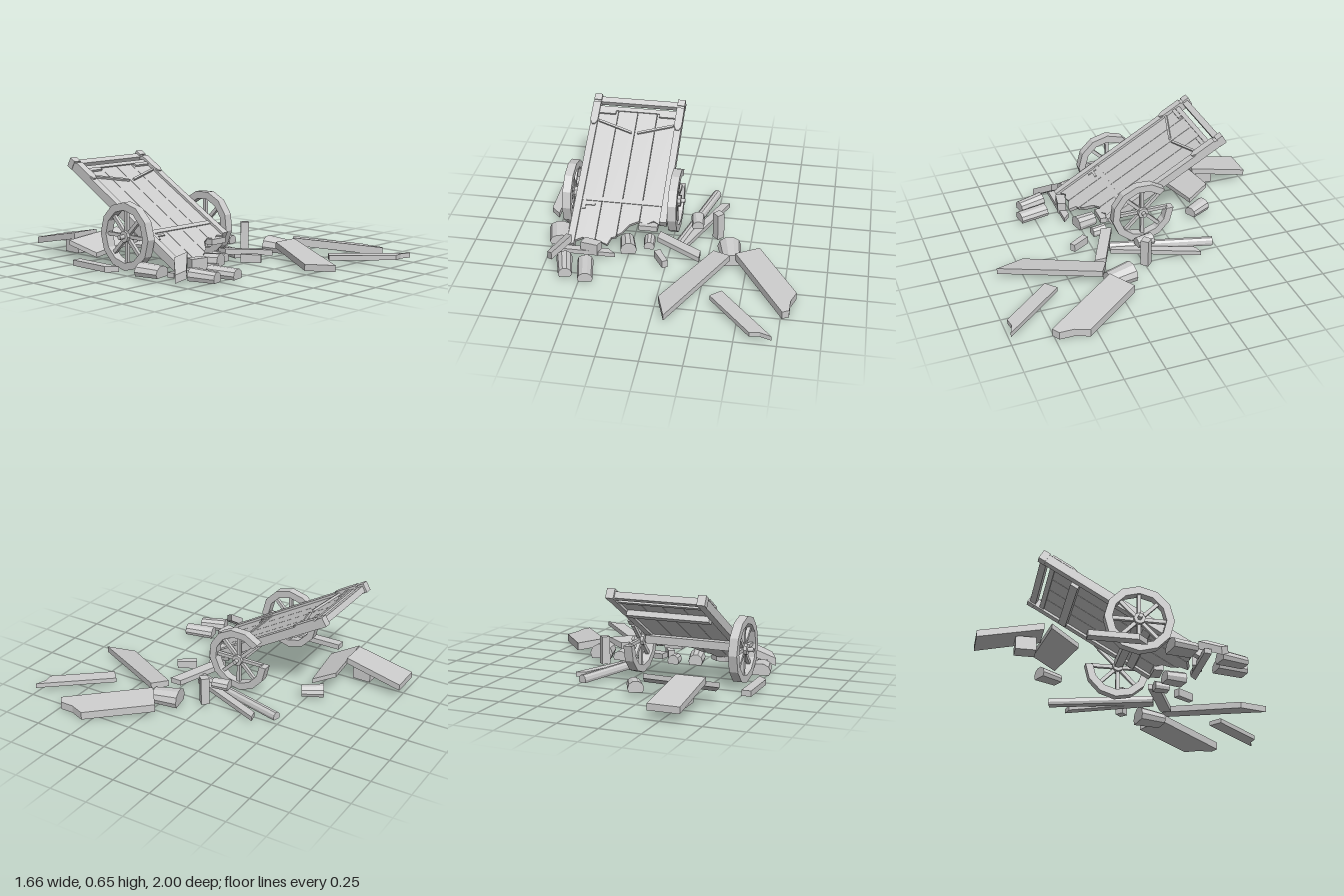
import * as THREE from 'three';

const wood = new THREE.MeshStandardMaterial({ color: 0xcccccc });
wood.name = 'paleGrey';

function add(parent, name, geo, x = 0, y = 0, z = 0) {
  const m = new THREE.Mesh(geo, wood);
  m.name = name;
  m.position.set(x, y, z);
  parent.add(m);
  return m;
}
const box = (parent, name, w, h, d, x, y, z) => add(parent, name, new THREE.BoxGeometry(w, h, d), x, y, z);

// Flat board from an (x, z) outline; its top lies at y = top + slopeX * x + slopeZ * z
function slab(parent, name, outline, thick, top, slopeX = 0, slopeZ = 0) {
  const shape = new THREE.Shape(outline.map(([x, z]) => new THREE.Vector2(x, z)));
  const geo = new THREE.ExtrudeGeometry(shape, { depth: thick, bevelEnabled: false });
  geo.rotateX(Math.PI / 2);
  const p = geo.attributes.position;
  for (let i = 0; i < p.count; i++) {
    p.setY(i, p.getY(i) + top + slopeX * p.getX(i) + slopeZ * p.getZ(i));
  }
  geo.computeVertexNormals();
  return add(parent, name, geo);
}

// Split piece of log: rounded on top, flat below, lying along its own z
function log(parent, name, w, h, len, x, y, z, yaw = 0, taper = 1) {
  const pts = [];
  for (let i = 0; i <= 5; i++) {
    const a = (i / 5) * Math.PI;
    pts.push(new THREE.Vector2(Math.cos(a) * w / 2, h * (0.35 + 0.65 * Math.sin(a))));
  }
  pts.push(new THREE.Vector2(-w * 0.42, 0), new THREE.Vector2(w * 0.42, 0));
  const geo = new THREE.ExtrudeGeometry(new THREE.Shape(pts), { depth: len, bevelEnabled: false });
  geo.translate(0, 0, -len / 2);
  const p = geo.attributes.position;
  for (let i = 0; i < p.count; i++) {
    if (p.getZ(i) > 0) { p.setX(i, p.getX(i) * taper); p.setY(i, p.getY(i) * taper); }
  }
  geo.computeVertexNormals();
  const m = add(parent, name, geo, x, y, z);
  m.rotation.y = yaw;
  return m;
}

// Twelve-sided spoked wheel about the x axis, optionally with a piece of rim missing
function wheel(parent, name, x, broken) {
  const g = new THREE.Group();
  g.name = name;
  g.position.set(x, 0.225, -0.08);
  const ring = (r, from, to, n) => Array.from({ length: n + 1 }, (_, i) => {
    const a = from + (to - from) * i / n;
    return new THREE.Vector2(r * Math.cos(a), r * Math.sin(a));
  });
  const full = Math.PI * 2, R = 0.207, r = 0.16;
  let shape;
  if (broken) {
    const a = full / 8;
    shape = new THREE.Shape([...ring(R, a, full, 11), ...ring(r, a, full, 11).reverse()]);
  } else {
    shape = new THREE.Shape(ring(R, 0, full, 12).slice(0, 12));
    shape.holes.push(new THREE.Path(ring(r, 0, full, 12).slice(0, 12)));
  }
  const rim = new THREE.ExtrudeGeometry(shape, { depth: 0.055, bevelEnabled: false });
  rim.translate(0, 0, -0.0275).rotateY(Math.PI / 2);
  add(g, 'rim', rim);
  const hub = new THREE.CylinderGeometry(0.035, 0.035, 0.06, 8).toNonIndexed();
  hub.computeVertexNormals();
  add(g, 'hub', hub.rotateZ(Math.PI / 2));
  for (let i = 0; i < 8; i++) {
    const spoke = new THREE.BoxGeometry(0.022, 0.15, 0.022).translate(0, 0.095, 0);
    add(g, 'spoke', spoke.rotateX(i * Math.PI / 4));
  }
  parent.add(g);
}

export function createModel() {
  const model = new THREE.Group();
  model.name = 'brokenCart';

  // Tilted cart bed: local z runs down the slope toward the front
  const bed = new THREE.Group();
  bed.name = 'cartBed';
  bed.position.set(-0.33, 0.29, -0.08);
  bed.rotation.x = Math.PI / 6;
  model.add(bed);
  box(bed, 'leftRail', 0.045, 0.055, 0.90, 0.28, 0, -0.21);
  box(bed, 'rightRail', 0.045, 0.055, 1.10, -0.28, 0, -0.11);
  box(bed, 'endBar', 0.56, 0.04, 0.04, 0, 0, -0.63);
  box(bed, 'backBeam', 0.52, 0.04, 0.03, 0, 0, -0.565);
  box(bed, 'crossStrip', 0.52, 0.008, 0.03, 0, 0.014, 0.11);
  box(bed, 'underBeam', 0.52, 0.035, 0.05, 0, -0.03, 0.1);
  box(bed, 'underBeam', 0.52, 0.035, 0.05, 0, -0.03, -0.40);

  // Bed planks with splintered front ends
  const planks = [
    [[-0.258, 0.41], [-0.21, 0.385], [-0.17, 0.4], [-0.132, 0.39]],
    [[-0.129, 0.39], [-0.05, 0.42], [-0.03, 0.37], [-0.002, 0.36]],
    [[0.001, 0.35], [0.03, 0.33], [0.07, 0.27], [0.128, 0.24]],
    [[0.131, 0.24], [0.17, 0.26], [0.22, 0.23], [0.258, 0.25]],
  ];
  for (const end of planks) {
    slab(bed, 'bedPlank', [[end[0][0], -0.58], ...end, [end[3][0], -0.58]], 0.025, 0.012);
  }

  // Rail end plates and slanting braces on the headboard end
  for (const s of [-1, 1]) {
    box(bed, 'railCap', 0.05, 0.062, 0.045, s * 0.28, 0.003, -0.64);
    slab(bed, 'railPlate', [[-0.025, -0.6], [0.025, -0.6], [0.025, -0.46], [0.01, -0.43], [-0.01, -0.43], [-0.025, -0.46]]
      .map(([x, z]) => [x + s * 0.28, z]), 0.012, 0.037);
    slab(bed, 'brace', [[s * 0.02, -0.385], [s * 0.25, -0.46], [s * 0.25, -0.475], [s * 0.02, -0.40]], 0.02, 0.026);
    box(bed, 'cornerBlock', 0.11, 0.02, 0.025, s * 0.2, 0.016, -0.535);
  }
  box(bed, 'latch', 0.08, 0.009, 0.015, -0.21, 0.015, 0.15);
  box(bed, 'latch', 0.02, 0.009, 0.07, -0.24, 0.015, 0.15);

  // Axle and wheels
  const axle = new THREE.CylinderGeometry(0.014, 0.014, 0.80, 8).rotateZ(Math.PI / 2);
  add(model, 'axle', axle, -0.34, 0.225, -0.08);
  box(model, 'axleBeam', 0.58, 0.05, 0.05, -0.33, 0.235, -0.08);
  wheel(model, 'rightWheel', -0.673, false);
  wheel(model, 'leftWheel', 0.003, true);

  // Loose boards behind and beside the cart
  slab(model, 'rearBoard', [[-0.62, -1], [-0.425, -1], [-0.445, -0.62], [-0.63, -0.62]], 0.04, 0.30, 0, 0.20);
  slab(model, 'rearCrossBoard', [[-0.70, -0.585], [-0.25, -0.64], [-0.2, -0.5], [-0.62, -0.42]], 0.03, -0.11, 0, -0.43);
  slab(model, 'sideBoard', [[-0.83, -0.4], [-0.77, -0.4], [-0.77, -0.05], [-0.83, -0.11]], 0.035, 0.06);
  slab(model, 'leaningBoard', [[-0.08, 0.17], [-0.07, 0.10], [0.205, 0.235], [0.205, 0.31]], 0.035, 0.09, -0.10);
  slab(model, 'longStick', [[0.30, -0.355], [0.32, -0.36], [0.1, 0.17], [0.06, 0.14], [0.26, -0.345]], 0.03, 0.05);
  log(model, 'longStick', 0.055, 0.05, 0.66, 0.135, 0.02, -0.16, -0.26);

  // Loose boards in front
  slab(model, 'frontBoard', [[0.29, 0.265], [0.40, 0.325], [0.08, 0.905], [0.02, 0.72]], 0.04, 0.06, 0.15);
  slab(model, 'frontBoard', [[0.57, 0.18], [0.83, 0.55], [0.80, 0.64], [0.80, 0.73], [0.76, 0.76], [0.43, 0.29]], 0.05, 0.18, -0.15);
  slab(model, 'frontBoard', [[0.385, 0.61], [0.72, 0.995], [0.65, 0.97], [0.59, 0.98], [0.32, 0.67]], 0.03, 0.055, 0, 0.015);
  slab(model, 'smallBoard', [[-0.08, 0.295], [-0.045, 0.27], [0.02, 0.38], [-0.01, 0.40]], 0.05, 0.08);
  slab(model, 'thinBoard', [[-0.71, 0.295], [-0.37, 0.295], [-0.32, 0.34], [-0.70, 0.34]], 0.03, 0.065);
  slab(model, 'splinter', [[-0.54, 0.33], [-0.52, 0.27], [-0.41, 0.30], [-0.43, 0.35]], 0.08, 0.12);
  slab(model, 'tiltedBar', [[-0.74, 0.39], [-0.64, 0.28], [-0.59, 0.34], [-0.70, 0.44]], 0.05, 0.60, 0.72);

  // Upright stump and blocks
  box(model, 'uprightPost', 0.052, 0.18, 0.052, 0.288, 0.115, 0).rotation.y = Math.PI / 4;
  box(model, 'supportBlock', 0.10, 0.08, 0.12, -0.52, 0.07, -0.715);
  box(model, 'cornerStub', 0.12, 0.035, 0.06, -0.14, 0.155, 0.14);

  // Split log pieces scattered around: w, h, length, x, y, z, yaw, taper
  const pieces = [
    [0.10, 0.07, 0.14, -0.15, 0.03, -0.53, 0.5, 0.85],
    [0.085, 0.06, 0.11, 0.15, 0.08, -0.04, 0.15, 0.9],
    [0.15, 0.10, 0.17, 0.39, 0.02, 0.21, 0.2, 0.8],
    [0.09, 0.07, 0.13, -0.26, 0.03, 0.22, 0.25, 1.15],
    [0.075, 0.06, 0.09, -0.13, 0.03, 0.17, 0.1, 0.9],
    [0.14, 0.075, 0.15, -0.71, 0.025, 0.165, 0.2, 0.9],
    [0.10, 0.075, 0.17, -0.605, 0.025, 0.49, 0.25, 0.85],
    [0.10, 0.065, 0.19, -0.47, 0.03, 0.515, 0.2, 0.95],
  ];
  for (const p of pieces) log(model, 'logPiece', ...p);

  return model;
}
